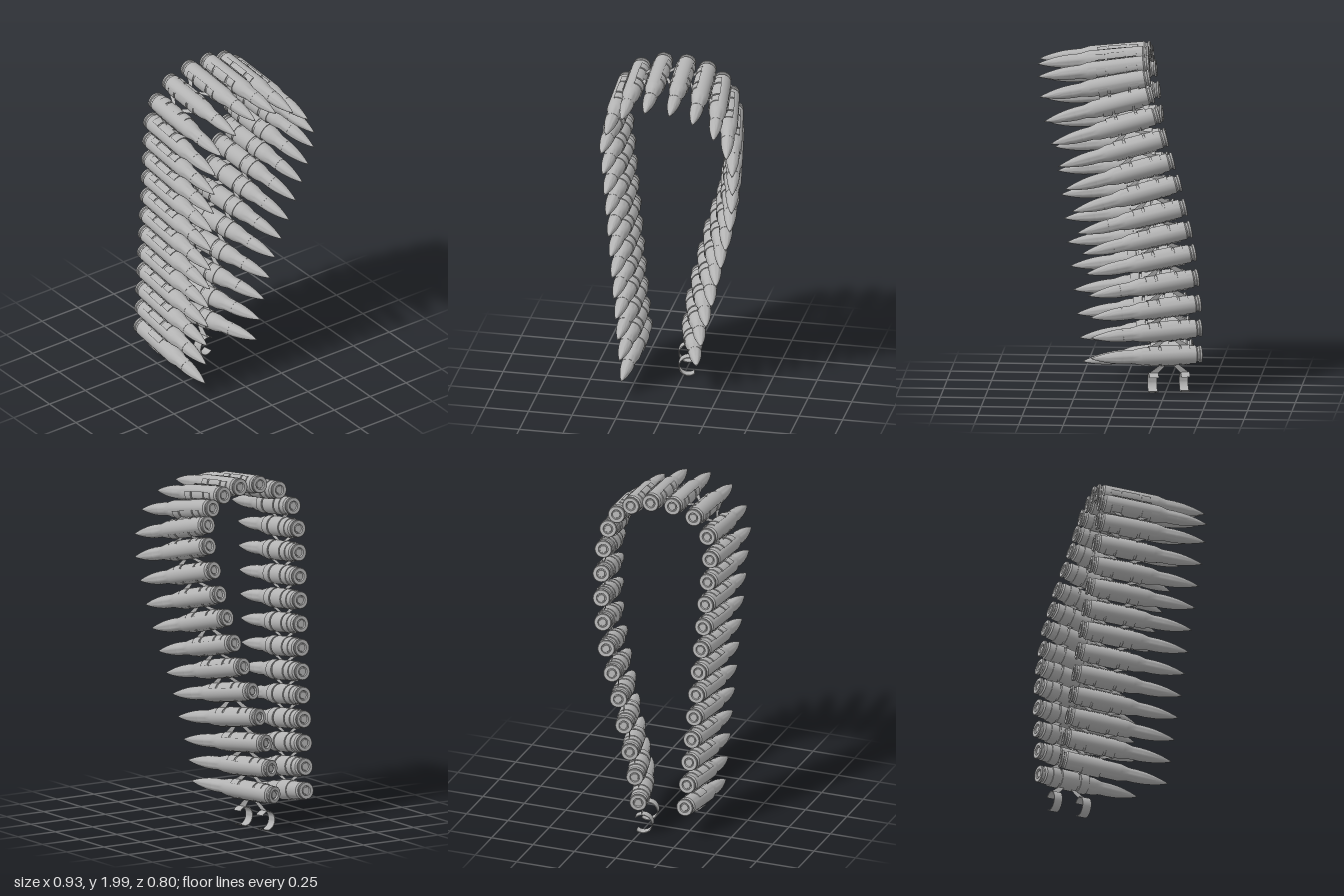
import * as THREE from 'three';
import { toCreasedNormals } from 'three/addons/utils/BufferGeometryUtils.js';

const LENGTH = 0.633;
const V = (x, y, z) => new THREE.Vector3(x, y, z);
const lathe = (pts, seg, start = 0, len = Math.PI * 2) => toCreasedNormals(
  new THREE.LatheGeometry(pts.map(p => new THREE.Vector2(p[0], p[1])), seg, start, len), 0.5);

// Each row: centre of the base (x, y, z), then the rise and z shift to the tip
function beltPath() {
  const rows = [];
  for (let i = 0; i < 12; i++) { // straight front run, bottom to top
    const t = i / 11, mix = (a, b) => a + (b - a) * t;
    rows.push([mix(-0.385, -0.19), mix(0.215, 1.675), mix(0.27, 0.345), mix(-0.09, -0.065), 0.003]);
  }
  rows.push( // over the top and down the back
    [-0.174, 1.805, 0.322, -0.07, -0.005], [-0.163, 1.905, 0.235, -0.063, -0.01],
    [-0.16, 1.95, 0.107, -0.057, -0.015], [-0.16, 1.95, -0.025, -0.06, -0.025],
    [-0.17, 1.918, -0.14, -0.075, -0.04], [-0.18, 1.855, -0.222, -0.105, -0.075],
    [-0.2, 1.768, -0.265, -0.145, -0.1], [-0.235, 1.655, -0.28, -0.155, -0.11],
    [-0.278, 1.523, -0.275, -0.153, -0.108], [-0.315, 1.39, -0.26, -0.152, -0.11],
    [-0.352, 1.26, -0.237, -0.153, -0.115], [-0.38, 1.115, -0.205, -0.138, -0.118],
    [-0.405, 0.98, -0.16, -0.127, -0.13], [-0.425, 0.837, -0.113, -0.105, -0.147],
    [-0.438, 0.686, -0.075, -0.085, -0.157], [-0.447, 0.532, -0.036, -0.063, -0.163],
    [-0.45, 0.384, -0.004, -0.037, -0.165], [-0.45, 0.23, 0.016, -0.005, -0.16],
    [-0.45, 0.07, 0.03, 0, -0.13]); // empty place for the last link
  return rows.map(([x, y, z, dy, dz]) => ({
    base: V(x, y, z),
    axis: V(Math.sqrt(LENGTH ** 2 - dy * dy - dz * dz), dy, dz).normalize()
  }));
}

export function createModel() {
  const model = new THREE.Group();
  model.name = 'cartridgeBelt';
  const metal = new THREE.MeshStandardMaterial({ color: 0xb3b3b3, side: THREE.DoubleSide });
  metal.name = 'grey metal';

  // Case with rim, groove, shoulder and neck
  const caseGeo = lathe([
    [0, 0.006], [0.019, 0.006], [0.021, 0.012], [0.026, 0.012], [0.028, 0], [0.046, 0],
    [0.049, 0.003], [0.049, 0.013], [0.042, 0.016], [0.042, 0.026], [0.051, 0.034],
    [0.0495, 0.34], [0.0475, 0.352], [0.039, 0.388], [0.038, 0.4], [0.038, 0.45], [0.035, 0.45]], 28);
  // Pointed projectile
  const tip = [];
  for (let i = 0; i <= 10; i++) {
    const t = i / 10;
    tip.push([0.036 * (1 - t ** 1.75) + (i === 10 ? 0 : 0.001), 0.449 + (LENGTH - 0.449) * t]);
  }
  const tipGeo = lathe(tip, 28);

  // Open sheet-metal band gripping a case between two heights, gap facing outward
  const band = (a, b, gap) => lathe(
    [[0.052, a], [0.057, a], [0.057, b], [0.052, b], [0.052, a]], 26, gap, Math.PI * 2 - 2 * gap);
  const middleGeo = band(0.13, 0.235, 0.75);
  const clawGeos = [band(0.07, 0.12, 0.8), band(0.247, 0.3, 0.8)];

  const path = beltPath();
  const last = path.length - 1;
  const frames = path.map(({ base, axis }, k) => {
    const t = path[Math.min(k + 1, last)].base.clone().sub(path[Math.max(k - 1, 0)].base);
    const out = axis.clone().cross(t).normalize();
    return new THREE.Matrix4().makeBasis(axis.clone().cross(out), axis, out).setPosition(base);
  });

  const add = (parent, name, geo) => {
    const mesh = new THREE.Mesh(geo, metal);
    mesh.name = name;
    parent.add(mesh);
  };

  // Two slanting webs joining a middle band to the next pair of claws
  const webs = (m, n) => {
    const pos = [], p = (mat, x, y) => V(x, y, 0).applyMatrix4(mat);
    for (const [a, b, c, d] of [[0.13, 0.165, 0.07, 0.12], [0.2, 0.235, 0.247, 0.3]]) {
      const A = p(m, -0.054, a), B = p(m, -0.054, b), C = p(n, 0.054, c), D = p(n, 0.054, d);
      for (const q of [A, B, D, A, D, C]) pos.push(q.x, q.y, q.z);
    }
    const g = new THREE.BufferGeometry();
    g.setAttribute('position', new THREE.Float32BufferAttribute(pos, 3));
    g.computeVertexNormals();
    return g;
  };

  frames.forEach((frame, k) => {
    const place = new THREE.Group();
    place.name = k < last ? 'cartridge' : 'endClip';
    place.applyMatrix4(frame);
    if (k < last) {
      add(place, 'case', caseGeo);
      add(place, 'projectile', tipGeo);
      add(place, 'linkMiddleBand', middleGeo);
      add(model, 'linkWebs', webs(frame, frames[k + 1]));
    }
    if (k > 0) clawGeos.forEach(g => add(place, 'linkClaw', g));
    model.add(place);
  });
  return model;
}
